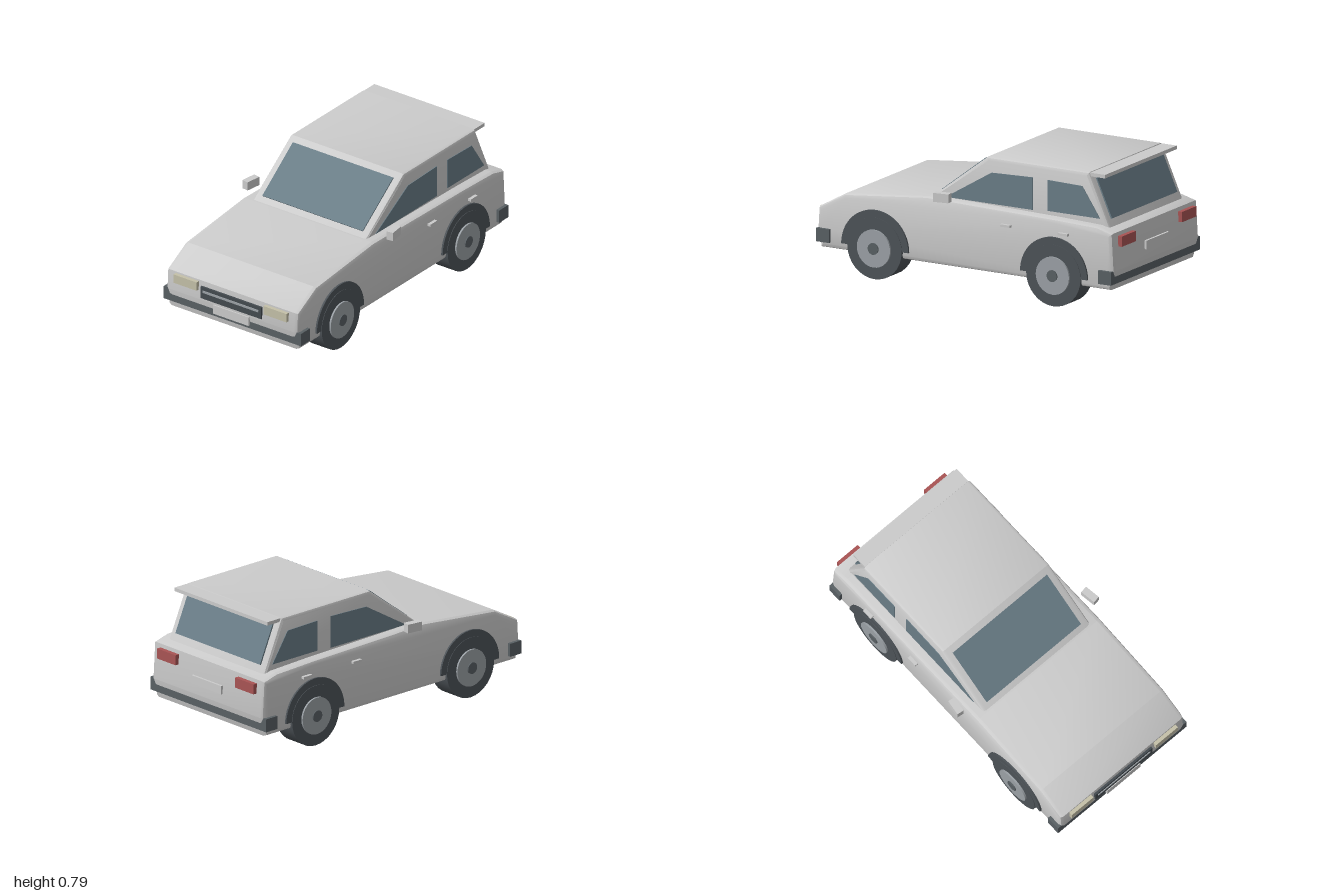
import * as THREE from 'three';
import { toCreasedNormals } from 'three/addons/utils/BufferGeometryUtils.js';

const mat = (color) => new THREE.MeshStandardMaterial({ color });

export function createModel() {
  const car = new THREE.Group();
  car.name = 'car';
  const paint = mat(0xcccccc);
  const glass = mat(0x6a7d87);
  const rubber = mat(0x4d5358);
  const trim = mat(0x596064);
  const rim = mat(0x9ba1a6);
  const lamp = mat(0xc4c0a8);
  const red = mat(0xa85454);
  const grilleDark = mat(0x434a4f);

  const add = (name, geometry, material, x = 0, y = 0, z = 0) => {
    const mesh = new THREE.Mesh(geometry, material);
    mesh.name = name;
    mesh.position.set(x, y, z);
    car.add(mesh);
    return mesh;
  };

  // Box given by its x, y and z ranges
  const block = (name, material, [x0, x1], [y0, y1], [z0, z1]) =>
    add(name, new THREE.BoxGeometry(x1 - x0, y1 - y0, z1 - z0), material,
      (x0 + x1) / 2, (y0 + y1) / 2, (z0 + z1) / 2);

  // Side outline of (z, y) points, extruded across x and centred on 'x'
  const sideExtrude = (name, shape, width, bevel, material, x = 0) => {
    let geo = new THREE.ExtrudeGeometry(shape, {
      depth: width - 2 * bevel, bevelEnabled: bevel > 0, bevelSize: bevel, bevelThickness: bevel,
      bevelOffset: -bevel, bevelSegments: 2, curveSegments: 32,
    });
    geo.translate(0, 0, -(width - 2 * bevel) / 2);
    geo.rotateY(-Math.PI / 2);
    geo = toCreasedNormals(geo, 0.4);
    return add(name, geo, material, x);
  };
  const outline = (points) => new THREE.Shape(points.map(([z, y]) => new THREE.Vector2(z, y)));

  // Thin sloping pane between a lower and an upper (z, y) point
  const pane = (name, width, [z0, y0], [z1, y1]) => {
    const dz = z1 - z0, dy = y1 - y0;
    const mesh = add(name, new THREE.BoxGeometry(width, Math.hypot(dz, dy), 0.012), glass,
      0, (y0 + y1) / 2, (z0 + z1) / 2);
    mesh.rotation.x = Math.atan2(dz, dy);
  };

  // Lower body and cabin
  sideExtrude('body', outline([
    [-0.955, 0.135], [0.96, 0.135], [0.982, 0.25], [0.975, 0.37], [0.8, 0.467],
    [0.26, 0.522], [-0.6, 0.505], [-0.87, 0.495], [-0.972, 0.468], [-0.985, 0.25],
  ]), 0.932, 0.025, paint);
  sideExtrude('cabin', outline([
    [-0.925, 0.46], [0.33, 0.46], [-0.105, 0.79], [-0.78, 0.79],
  ]), 0.804, 0.02, paint);

  // Windscreen, rear window and side windows
  pane('windscreen', 0.71, [0.218, 0.545], [-0.07, 0.765]);
  pane('rearWindow', 0.71, [-0.9, 0.525], [-0.8, 0.75]);
  for (const s of [1, -1]) {
    sideExtrude('frontSideWindow', outline([
      [-0.41, 0.522], [0.165, 0.522], [-0.137, 0.703], [-0.41, 0.712],
    ]), 0.012, 0, glass, s * 0.4);
    sideExtrude('rearSideWindow', outline([
      [-0.855, 0.53], [-0.51, 0.53], [-0.51, 0.71], [-0.738, 0.705],
    ]), 0.012, 0, glass, s * 0.4);
  }

  // Roof spoiler
  block('spoiler', paint, [-0.39, 0.39], [0.765, 0.786], [-0.88, -0.77]);

  // Front and rear bumpers with taller corner blocks
  for (const s of [1, -1]) {
    const zRange = (a, b) => (s > 0 ? [a, b] : [-b, -a]);
    block('bumper', trim, [-0.48, 0.48], [0.172, 0.215], zRange(0.9, 0.976));
    for (const side of [1, -1])
      block('bumperCorner', trim, side > 0 ? [0.43, 0.485] : [-0.485, -0.43],
        [0.172, 0.25], zRange(0.89, 0.976));
  }

  // Grille and plates
  block('grille', grilleDark, [-0.215, 0.215], [0.265, 0.338], [0.95, 0.99]);
  block('grilleBar', rim, [-0.197, 0.197], [0.305, 0.318], [0.95, 0.995]);
  block('frontPlate', paint, [-0.125, 0.125], [0.193, 0.248], [0.95, 0.99]);
  block('rearPlate', paint, [-0.125, 0.125], [0.308, 0.358], [-0.992, -0.95]);

  // Paired lamps, handles and mirrors
  for (const s of [1, -1]) {
    const xRange = (a, b) => (s > 0 ? [a, b] : [-b, -a]);
    block('headlight', lamp, xRange(0.236, 0.4), [0.307, 0.36], [0.94, 0.998]);
    block('tailLight', red, xRange(0.25, 0.405), [0.385, 0.445], [-1, -0.95]);
    for (const z of [-0.275, -0.655])
      block('doorHandle', paint, xRange(0.455, 0.486), [0.42, 0.434], [z - 0.032, z + 0.032]);
    const mirror = add('mirror', new THREE.BoxGeometry(0.042, 0.052, 0.095), paint,
      s * 0.506, 0.546, 0.128);
    mirror.rotation.y = s * 0.14;
  }

  // Wheels with half-disc arches
  const drum = (radius, width) =>
    new THREE.CylinderGeometry(radius, radius, width, 32).rotateZ(Math.PI / 2);
  for (const s of [1, -1]) {
    for (const z of [0.592, -0.592]) {
      const arch = new THREE.Shape();
      arch.absarc(z, 0.18, 0.222, 0, Math.PI, false);
      sideExtrude('wheelArch', arch, 0.077, 0, rubber, s * 0.4385);
      add('tire', drum(0.18, 0.132), rubber, s * 0.414, 0.18, z);
      add('rim', drum(0.11, 0.04), rim, s * 0.471, 0.18, z);
      add('hubCap', drum(0.034, 0.04), trim, s * 0.478, 0.18, z);
    }
  }
  return car;
}
